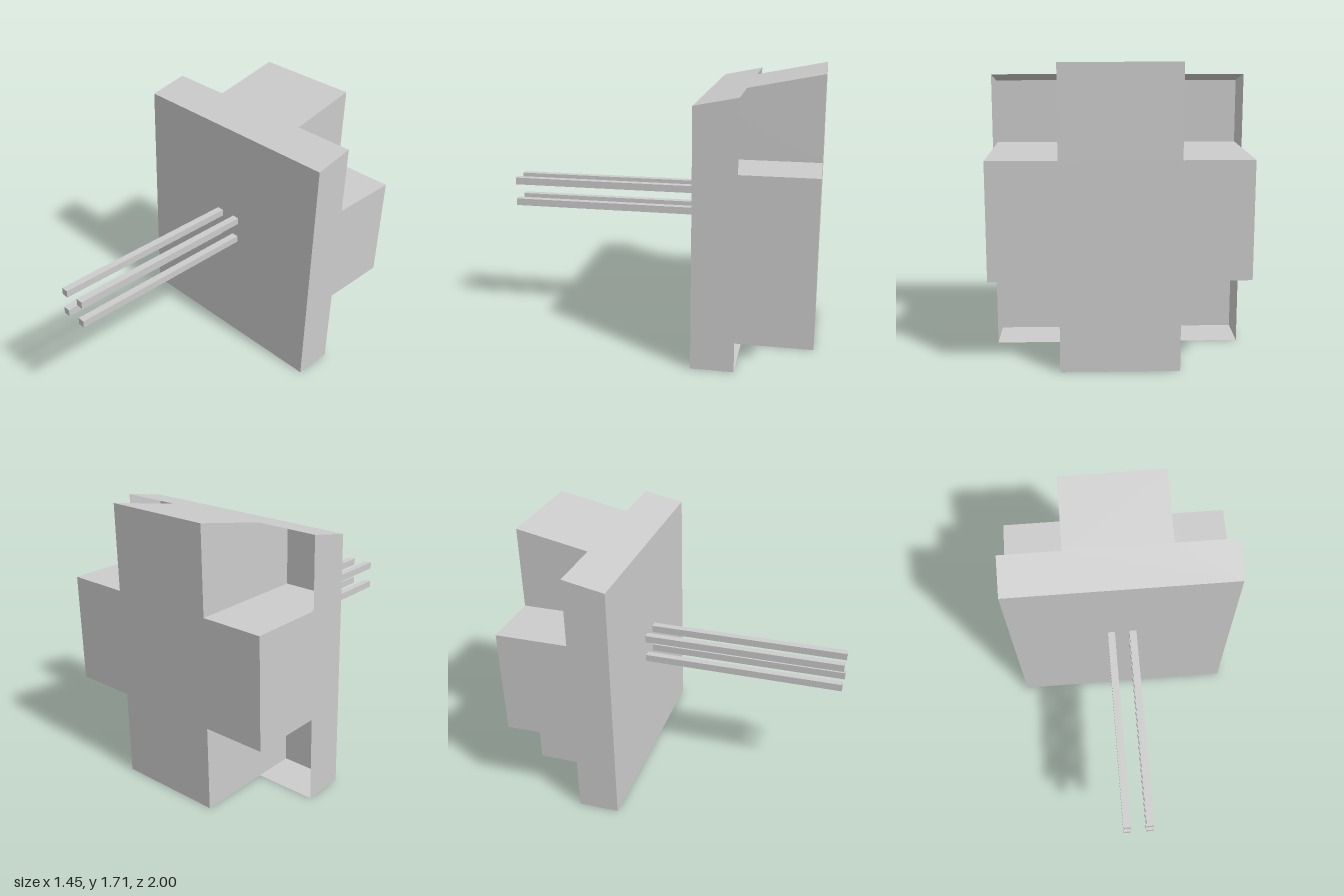
import * as THREE from 'three';

const W = 0.726, C = 0.335;                        // half widths: plate and arms, centre column
const FRONT = -0.287, RIM = -0.546, BACK = -1;     // z of front face, rim and back face
const ARM_LOW = 0.525, ARM_TOP = 1.194;            // height range of the side arms
const roofY = (z) => 1.571 + (FRONT - z) * 0.2;    // sloping roof

const material = new THREE.MeshStandardMaterial({
  color: 0xcccccc, flatShading: true, side: THREE.DoubleSide,
});

// Flat sheet: a 2D outline mapped into space, wound to face along the given direction
function panel(name, outline, place, facing) {
  const shape = new THREE.Shape(outline.map(([u, v]) => new THREE.Vector2(u, v)));
  const geo = new THREE.ShapeGeometry(shape);
  const pos = geo.attributes.position;
  for (let i = 0; i < pos.count; i++) pos.setXYZ(i, ...place(pos.getX(i), pos.getY(i)));
  geo.computeVertexNormals();
  const n = new THREE.Vector3().fromBufferAttribute(geo.attributes.normal, 0);
  if (n.dot(new THREE.Vector3(...facing)) < 0) {
    geo.index.array.reverse();
    geo.computeVertexNormals();
  }
  const mesh = new THREE.Mesh(geo, material);
  mesh.name = name;
  return mesh;
}

export function createModel() {
  const model = new THREE.Group();
  model.name = 'wallBlock';
  const body = new THREE.Group();
  body.name = 'body';
  model.add(body);

  // Front sheet
  const fy = roofY(FRONT), by = roofY(BACK);
  body.add(panel('frontPanel', [[-W, 0], [W, 0], [W, fy], [-W, fy]],
    (x, y) => [x, y, FRONT], [0, 0, 1]));

  // Cross-shaped back face
  body.add(panel('backCross', [
    [-C, 0], [C, 0], [C, ARM_LOW], [W, ARM_LOW], [W, ARM_TOP], [C, ARM_TOP],
    [C, by], [-C, by], [-C, ARM_TOP], [-W, ARM_TOP], [-W, ARM_LOW], [-C, ARM_LOW],
  ], (x, y) => [x, y, BACK], [0, 0, -1]));

  // T-shaped roof and floor
  const tee = [[-W, FRONT], [W, FRONT], [W, RIM], [C, RIM], [C, BACK], [-C, BACK], [-C, RIM], [-W, RIM]];
  body.add(panel('roof', tee, (x, z) => [x, roofY(z), z], [0, 1, 0]));
  body.add(panel('floor', tee, (x, z) => [x, 0, z], [0, -1, 0]));

  for (const s of [-1, 1]) {
    // Outer side sheet with the end of the arm
    body.add(panel('sideWall', [
      [FRONT, 0], [RIM, 0], [RIM, ARM_LOW], [BACK, ARM_LOW], [BACK, ARM_TOP],
      [RIM, ARM_TOP], [RIM, roofY(RIM)], [FRONT, fy],
    ], (z, y) => [s * W, y, z], [s, 0, 0]));

    // Column walls in the open corners
    body.add(panel('upperColumnWall', [[FRONT, ARM_TOP], [BACK, ARM_TOP], [BACK, by], [FRONT, fy]],
      (z, y) => [s * C, y, z], [s, 0, 0]));
    body.add(panel('lowerColumnWall', [[FRONT, 0], [BACK, 0], [BACK, ARM_LOW], [FRONT, ARM_LOW]],
      (z, y) => [s * C, y, z], [s, 0, 0]));

    // Top and underside of the arm
    const strip = [[C, FRONT], [W, FRONT], [W, BACK], [C, BACK]];
    body.add(panel('armTop', strip, (x, z) => [s * x, ARM_TOP, z], [0, 1, 0]));
    body.add(panel('armUnderside', strip, (x, z) => [s * x, ARM_LOW, z], [0, -1, 0]));
  }

  // Four square rods reaching forward
  const rodGeo = new THREE.BoxGeometry(0.046, 0.046, 1 - FRONT);
  for (const x of [-0.071, 0.071]) {
    for (const y of [0.787, 0.93]) {
      const rod = new THREE.Mesh(rodGeo, material);
      rod.name = 'rod';
      rod.position.set(x, y, (1 + FRONT) / 2);
      model.add(rod);
    }
  }
  return model;
}
